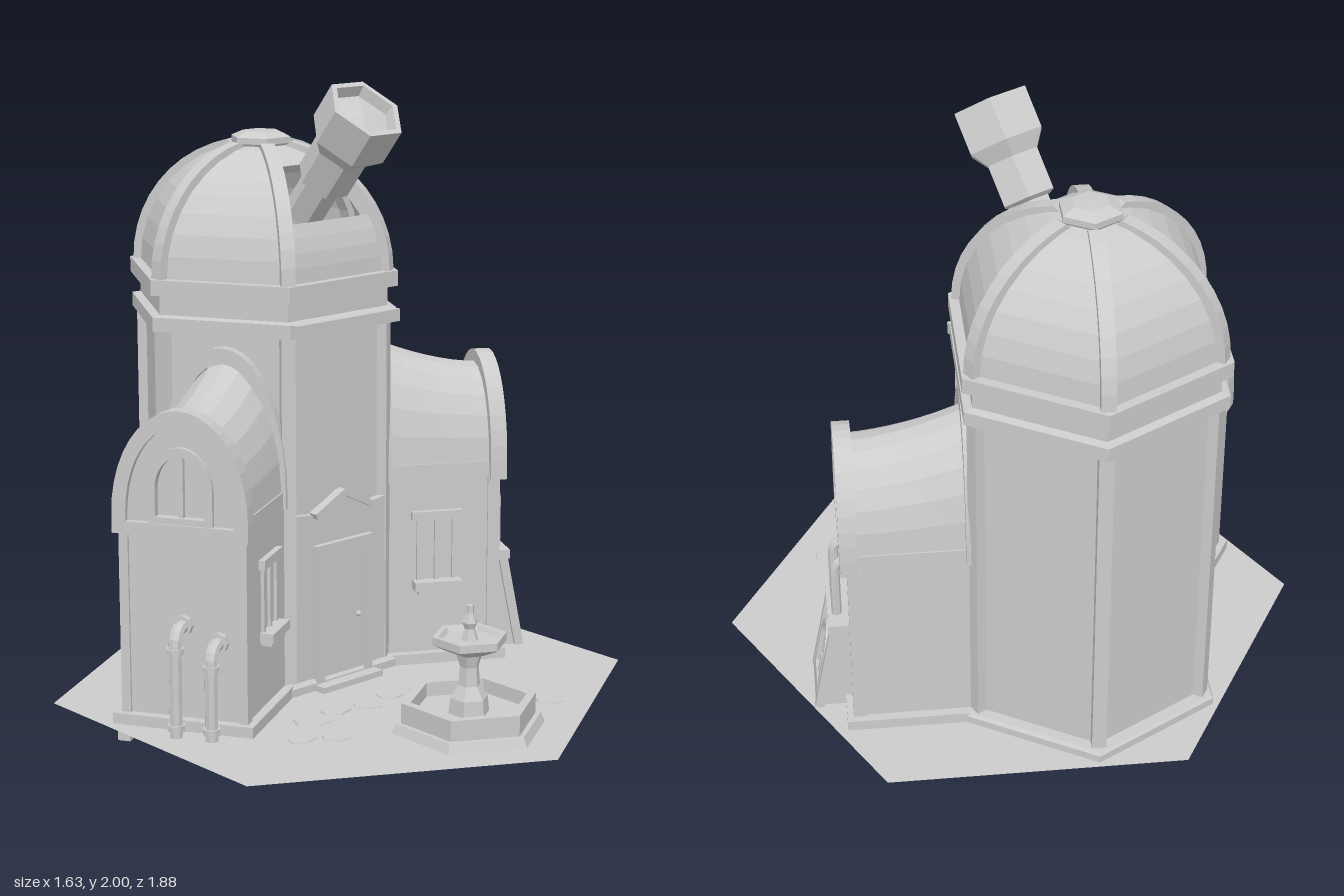
import * as THREE from 'three';

const material = new THREE.MeshStandardMaterial({ color: 0xcccccc, flatShading: true, side: THREE.DoubleSide });
const TOWER_Z = -0.39, FLAT = Math.PI / 6, SPRING = 0.735;

function add(parent, name, geometry, x = 0, y = 0, z = 0) {
  const mesh = new THREE.Mesh(geometry, material);
  mesh.name = name;
  mesh.position.set(x, y, z);
  parent.add(mesh);
  return mesh;
}
function group(parent, name, x = 0, y = 0, z = 0) {
  const g = new THREE.Group();
  g.name = name;
  g.position.set(x, y, z);
  parent.add(g);
  return g;
}
// box given by its centre in x and z, and by bottom and top in y
const box = (parent, name, w, d, y0, y1, x = 0, z = 0) =>
  add(parent, name, new THREE.BoxGeometry(w, y1 - y0, d), x, (y0 + y1) / 2, z);
// six-sided turned part; start = FLAT turns a flat side to the front
const hexLathe = (parent, name, pts, start = 0, sides = 6, from = 0) =>
  add(parent, name, new THREE.LatheGeometry(pts.map(p => new THREE.Vector2(...p)), sides,
    start + from * Math.PI / 3, sides * Math.PI / 3));
const extrude = (shape, depth) => new THREE.ExtrudeGeometry(shape, { depth, bevelEnabled: false, curveSegments: 10 });
const polygon = pts => new THREE.Shape(pts.map(p => new THREE.Vector2(...p)));

// arch outline: straight legs from y0 to the spring line, then a half ellipse
function arch(rx, ry, y0, spring = SPRING) {
  const s = new THREE.Shape();
  s.moveTo(-rx, y0);
  s.lineTo(rx, y0);
  s.lineTo(rx, spring);
  s.absellipse(0, spring, rx, ry, 0, Math.PI, false);
  s.lineTo(-rx, y0);
  return s;
}
function archRing(outer, inner) {
  const s = arch(...outer);
  s.holes.push(arch(...inner));
  return s;
}
// pipe through three points with a rounded elbow at the middle one
function pipe(parent, name, pts, r) {
  const path = new THREE.CurvePath();
  const [a, b, c] = pts.map(p => new THREE.Vector3(...p));
  const b1 = b.clone().lerp(a, 0.05 / a.distanceTo(b)), b2 = b.clone().lerp(c, Math.min(0.7, 0.05 / b.distanceTo(c)));
  path.add(new THREE.LineCurve3(a, b1));
  path.add(new THREE.QuadraticBezierCurve3(b1, b, b2));
  path.add(new THREE.LineCurve3(b2, c));
  add(parent, name, new THREE.TubeGeometry(path, 20, r, 8));
}

// dome curve as [radius, y], in even steps of angle
function domeProfile(y0, y1, n) {
  const a0 = Math.asin((y0 - 1.39) / 0.4), a1 = Math.asin((y1 - 1.39) / 0.4);
  return Array.from({ length: n + 1 }, (_, i) => {
    const a = a0 + (a1 - a0) * i / n;
    return [0.425 * Math.cos(a), 1.39 + 0.4 * Math.sin(a)];
  });
}

function buildTower(root) {
  const t = group(root, 'tower', 0, 0, TOWER_Z);
  hexLathe(t, 'towerWall', [[0.41, 0.015], [0.41, 1.24]], FLAT);
  hexLathe(t, 'towerFooting', [[0.38, 0.05], [0.38, 0.015], [0.425, 0.015], [0.425, 0.05]], FLAT);
  hexLathe(t, 'towerPlinth', [[0.41, 0.05], [0.46, 0.05], [0.46, 0.085], [0.45, 0.095], [0.41, 0.095]], FLAT);
  hexLathe(t, 'cornice', [[0.41, 1.225], [0.455, 1.225], [0.455, 1.27], [0.425, 1.275], [0.425, 1.335],
    [0.46, 1.34], [0.46, 1.39], [0.41, 1.39]], FLAT);
  box(t, 'corniceLedge', 0.44, 0.04, 1.23, 1.27, 0, 0.4);

  // dome: five whole panels, the front one left open for the telescope
  hexLathe(t, 'domePanels', domeProfile(1.39, 1.785, 8), FLAT, 5);
  hexLathe(t, 'frontPanelLower', domeProfile(1.39, 1.57, 4), FLAT, 1, 5);
  hexLathe(t, 'frontPanelUpper', domeProfile(1.73, 1.785, 3), FLAT, 1, 5);
  hexLathe(t, 'domeCap', [[0, 1.765], [0.085, 1.765], [0.1, 1.785], [0.1, 1.805], [0.06, 1.822], [0, 1.825]], FLAT);

  const curve = domeProfile(1.39, 1.78, 10);
  const rib = polygon([
    ...curve.map(([r, y]) => [r + 0.014, y + 0.012 * (y - 1.39) / 0.4]),
    ...curve.reverse().map(([r, y]) => [r - 0.03, y - 0.02])]);
  const ribGeo = extrude(rib, 0.045).translate(0, 0, -0.0225);
  for (let k = 0; k < 6; k++) {
    const a = k * Math.PI / 3;
    add(t, 'domeRib', ribGeo).rotation.y = a;
    box(t, 'cornerPillar', 0.04, 0.045, 0.05, 1.23, 0.41 * Math.cos(a), -0.41 * Math.sin(a)).rotation.y = a;
  }
}

function buildTelescope(root) {
  const t = hexLathe(root, 'telescope', [[0, -0.46], [0.065, -0.46], [0.065, -0.32], [0.09, -0.31], [0.09, -0.18],
    [0.13, -0.13], [0.13, 0], [0.11, 0], [0.1, -0.035], [0, -0.02]], FLAT);
  t.position.set(0, 1.93, 0.105);
  t.rotation.x = 0.69;
}

// wing in its own frame: +z points away from the tower, front is the side (-1 or 1) of the window
function buildWing(root, name, angle, front) {
  const w = group(root, name, 0, 0, TOWER_Z);
  w.rotation.y = angle;
  box(w, 'wingWall', 0.4, 0.43, 0.05, SPRING, 0, 0.53);
  box(w, 'wingPlinth', 0.46, 0.43, 0.05, 0.095, 0, 0.56);
  for (const s of [-1, 1]) {
    box(w, 'cornerPost', 0.03, 0.04, 0.095, 0.69, s * 0.192, 0.735);
    box(w, 'foot', 0.04, 0.04, 0, 0.06, s * 0.2, 0.74);
  }

  // vault rising in a hollow curve toward the tower
  const vault = new THREE.PlaneGeometry(1, 1, 12, 8), p = vault.attributes.position;
  for (let i = 0; i < p.count; i++) {
    const a = (0.5 - p.getX(i)) * Math.PI, f = p.getY(i) + 0.5;
    p.setXYZ(i, 0.195 * Math.cos(a), SPRING + (0.295 + 0.1 * f ** 1.7) * Math.sin(a), 0.74 - 0.38 * f);
  }
  add(w, 'vault', vault);
  add(w, 'towerArch', extrude(archRing([0.21, 0.45, 0.68], [0.175, 0.4, 0.7]), 0.035), 0, 0, 0.355);
  add(w, 'endArch', extrude(archRing([0.22, 0.335, 0.675], [0.175, 0.285, 0.715]), 0.055), 0, 0, 0.72);
  add(w, 'endPanel', extrude(archRing([0.19, 0.3, 0.69], [0.085, 0.11, 0.735, 0.82]), 0.02), 0, 0, 0.735);
  add(w, 'endWindowFrame', extrude(archRing([0.105, 0.135, 0.715, 0.82], [0.08, 0.105, 0.735, 0.82]), 0.03), 0, 0, 0.74);
  add(w, 'endWindowPane', extrude(arch(0.09, 0.115, 0.73, 0.82), 0.005), 0, 0, 0.737);
  box(w, 'endWindowBar', 0.015, 0.02, 0.73, 0.93, 0, 0.75);

  // side window with lintel and flower box
  const win = group(w, 'sideWindow', front * 0.2, 0, 0.54);
  box(win, 'lintel', 0.04, 0.17, 0.55, 0.58);
  box(win, 'flowerBox', 0.09, 0.16, 0.315, 0.345);
  box(win, 'flowerBoxBase', 0.07, 0.13, 0.3, 0.315);
  for (const z of [-0.06, 0, 0.06]) box(win, 'windowBar', 0.022, 0.014, 0.34, 0.555, 0, z);
  return w;
}

function buildCabinet(wing) {
  const c = group(wing, 'cabinet');
  // sloping body: side outline extruded across the width
  const side = polygon([[0.73, 0.06], [0.86, 0.06], [0.8, 0.37], [0.73, 0.37]]);
  add(c, 'cabinetBody', extrude(side, 0.2).translate(0, 0, -0.1).rotateY(-Math.PI / 2));
  box(c, 'cabinetTop', 0.24, 0.09, 0.37, 0.4, 0, 0.775);
  const face = group(c, 'cabinetFront', 0, 0.06, 0.86);
  face.rotation.x = -0.19;
  for (const s of [-1, 1]) box(face, 'cabinetPost', 0.025, 0.03, 0, 0.315, s * 0.1, 0);
  box(face, 'cabinetSill', 0.2, 0.025, 0, 0.03);
  add(face, 'hatchFrame', extrude(archRing([0.075, 0.09, 0.04, 0.17], [0.058, 0.07, 0.055, 0.17]), 0.015));
  box(face, 'hatchBar', 0.012, 0.02, 0.05, 0.24);
  box(face, 'hatchHandle', 0.03, 0.03, 0.13, 0.145, 0.025);
  for (const x of [-0.05, 0.05]) pipe(c, 'ventPipe', [[x, 0.39, 0.79], [x, 0.61, 0.79], [x, 0.61, 0.73]], 0.016);
}

function buildDrainPipes(wing) {
  [[0, 0.395], [0.115, 0.35]].forEach(([x, y]) => {
    pipe(wing, 'drainPipe', [[x, 0.06, 0.825], [x, y, 0.825], [x, y, 0.73]], 0.021);
    for (const cy of [0.09, y - 0.06])
      add(wing, 'pipeCollar', new THREE.CylinderGeometry(0.028, 0.028, 0.02, 8), x, cy, 0.825);
    add(wing, 'wallCollar', new THREE.CylinderGeometry(0.032, 0.032, 0.02, 8).rotateX(Math.PI / 2), x, y, 0.755);
  });
}

function buildDoor(root) {
  const d = group(root, 'entrance');
  const porch = polygon([[-0.2, 0.05], [0.2, 0.05], [0.2, 0.65], [0.12, 0.64], [0, 0.7], [-0.12, 0.64], [-0.2, 0.65]]);
  add(d, 'porchWall', extrude(porch, 0.03), 0, 0, -0.04);
  for (const s of [-1, 1]) {
    box(d, 'doorJamb', 0.035, 0.03, 0.06, 0.54, s * 0.105, -0.005);
    const slope = add(d, 'pediment', new THREE.BoxGeometry(0.14, 0.02, 0.03), s * 0.06, 0.67, -0.005);
    slope.rotation.z = -s * 0.46;
  }
  box(d, 'doorHead', 0.245, 0.03, 0.505, 0.54, 0, -0.005);
  box(d, 'doorLeaf', 0.17, 0.015, 0.06, 0.505, 0, -0.007);
  box(d, 'doorStep', 0.26, 0.06, 0.05, 0.08, 0, 0.02);
  add(d, 'doorKnob', new THREE.SphereGeometry(0.01, 8, 6), 0.06, 0.28, 0.008);
}

function buildFountain(root) {
  const f = group(root, 'fountain', 0, 0, 0.57);
  hexLathe(f, 'basin', [[0.255, 0.04], [0.232, 0.09], [0.215, 0.09], [0.215, 0.155], [0.185, 0.155], [0.185, 0.11], [0, 0.11]]);
  hexLathe(f, 'stem', [[0.065, 0.11], [0.06, 0.16], [0.035, 0.2], [0.03, 0.26], [0.045, 0.31]]);
  hexLathe(f, 'bowl', [[0.045, 0.3], [0.08, 0.315], [0.118, 0.335], [0.118, 0.36], [0.1, 0.36], [0.09, 0.345], [0, 0.345]]);
  hexLathe(f, 'finial', [[0.028, 0.345], [0.016, 0.38], [0.024, 0.4], [0.012, 0.43], [0.012, 0.455], [0, 0.455]]);
}

function buildGround(root) {
  add(root, 'ground', new THREE.CircleGeometry(0.942, 6, Math.PI / 2).rotateX(-Math.PI / 2), 0, 0.06);
  // paving stones: flat six-sided slabs, [x, z, radius]
  const stones = [[-0.32, 0.21, 0.07], [-0.21, 0.19, 0.055], [-0.1, 0.22, 0.05], [0.02, 0.2, 0.05], [0.14, 0.24, 0.06],
    [0.27, 0.33, 0.06], [0.33, 0.45, 0.06], [0.36, 0.58, 0.05], [-0.36, 0.36, 0.05], [-0.45, 0.3, 0.05]];
  stones.forEach(([x, z, r], i) => {
    const stone = add(root, 'pavingStone', new THREE.CylinderGeometry(r * 0.95, r, 0.006, 6), x, i < 2 ? 0.064 : 0.061, z);
    stone.scale.z = 0.75;
    stone.rotation.y = -0.4 + 0.3 * Math.sin(i * 2.3);
  });
}

export function createModel() {
  const root = new THREE.Group();
  root.name = 'observatory';
  buildGround(root);
  buildTower(root);
  buildTelescope(root);
  buildCabinet(buildWing(root, 'leftWing', Math.PI / 3, -1));
  buildDrainPipes(buildWing(root, 'rightWing', -Math.PI / 3, 1));
  buildDoor(root);
  buildFountain(root);
  return root;
}
